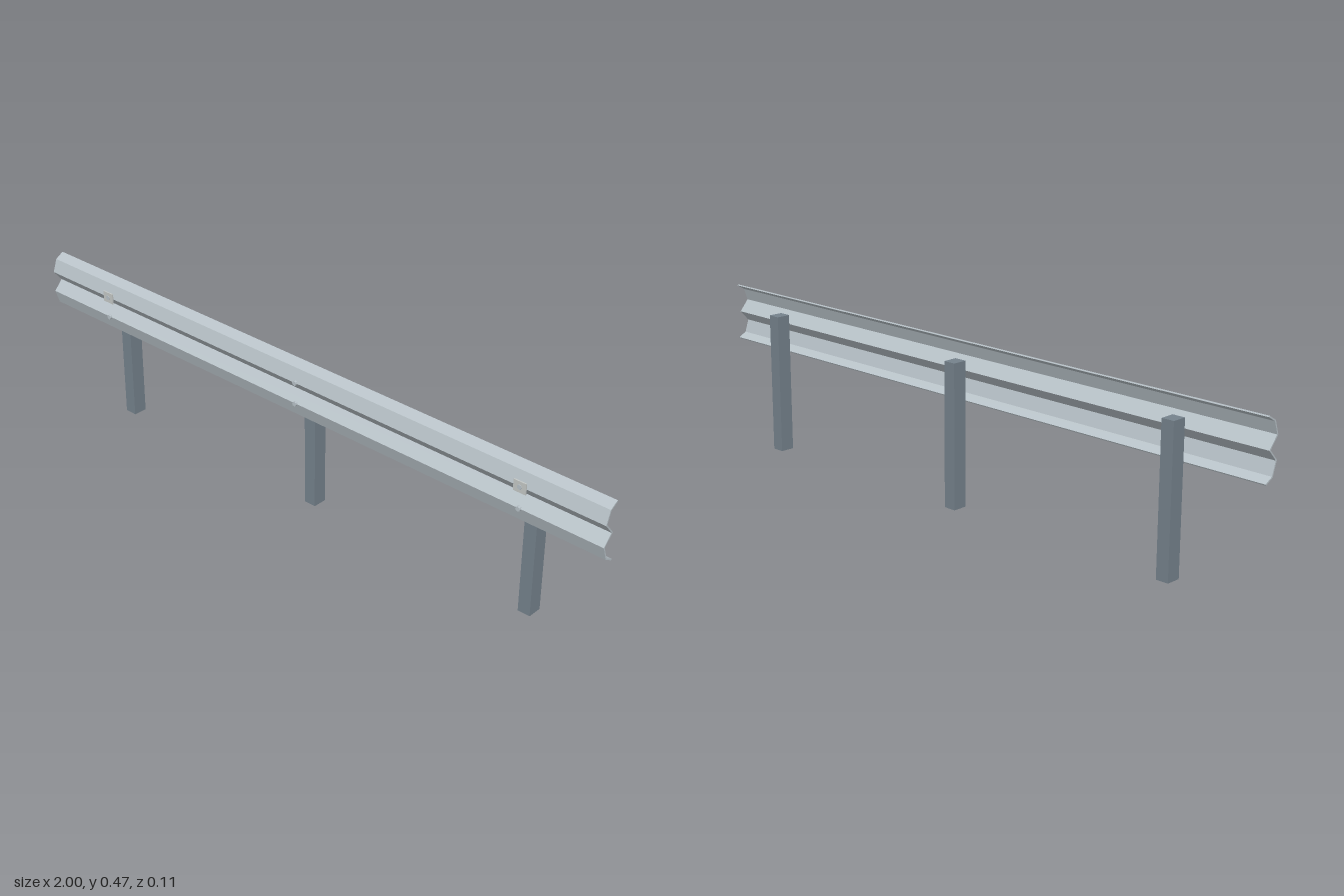
import * as THREE from 'three';

const material = (name, color) => {
  const m = new THREE.MeshStandardMaterial({ color, flatShading: true });
  m.name = name;
  return m;
};

export function createModel() {
  const group = new THREE.Group();
  const galvanised = material('galvanised steel', 0xb8c2c8);
  const postSteel = material('post steel', 0x75828c);
  const reflectorGrey = material('reflector grey', 0xc4c8c6);

  const add = (name, geometry, mat, x, y, z) => {
    const mesh = new THREE.Mesh(geometry, mat);
    mesh.name = name;
    mesh.position.set(x, y, z);
    group.add(mesh);
    return mesh;
  };

  // Corrugated rail: centre line as (z, y), thickened into a closed outline
  const line = [
    [0.009, 0.468], [0.034, 0.453], [0.047, 0.416], [0.019, 0.3825],
    [0.047, 0.352], [0.034, 0.313], [0.009, 0.299],
  ].map(([z, y]) => new THREE.Vector2(z, y));
  const half = 0.002;
  const normal = (a, b) => new THREE.Vector2(b.y - a.y, a.x - b.x).normalize();
  const offset = (side) => line.map((p, i) => {
    const n0 = normal(line[Math.max(i - 1, 0)], line[Math.max(i, 1)]);
    const last = line.length - 1;
    const n1 = normal(line[Math.min(i, last - 1)], line[Math.min(i + 1, last)]);
    const miter = n0.clone().add(n1).normalize();
    return p.clone().addScaledVector(miter, side * half / miter.dot(n0));
  });
  const outline = new THREE.Shape([...offset(1), ...offset(-1).reverse()]);
  const railGeometry = new THREE.ExtrudeGeometry(outline, { depth: 2, bevelEnabled: false });
  // Shape x becomes +z, extrusion runs along -x
  railGeometry.rotateY(-Math.PI / 2);
  add('rail', railGeometry, galvanised, 1, 0, 0);

  const postGeometry = new THREE.BoxGeometry(0.038, 0.42, 0.043);
  const boltGeometry = new THREE.CylinderGeometry(0.007, 0.007, 0.008, 8).rotateX(Math.PI / 2);
  const reflectorGeometry = new THREE.BoxGeometry(0.038, 0.032, 0.004);

  for (const x of [-0.75, 0, 0.75]) {
    add('post', postGeometry, postSteel, x, 0.21, -0.0302);
    for (const y of [0.352, 0.416]) add('bolt', boltGeometry, galvanised, x, y, 0.05);
    // Reflectors sit on the outer posts only
    if (x !== 0) add('reflector', reflectorGeometry, reflectorGrey, x, 0.416, 0.0505);
  }
  return group;
}
